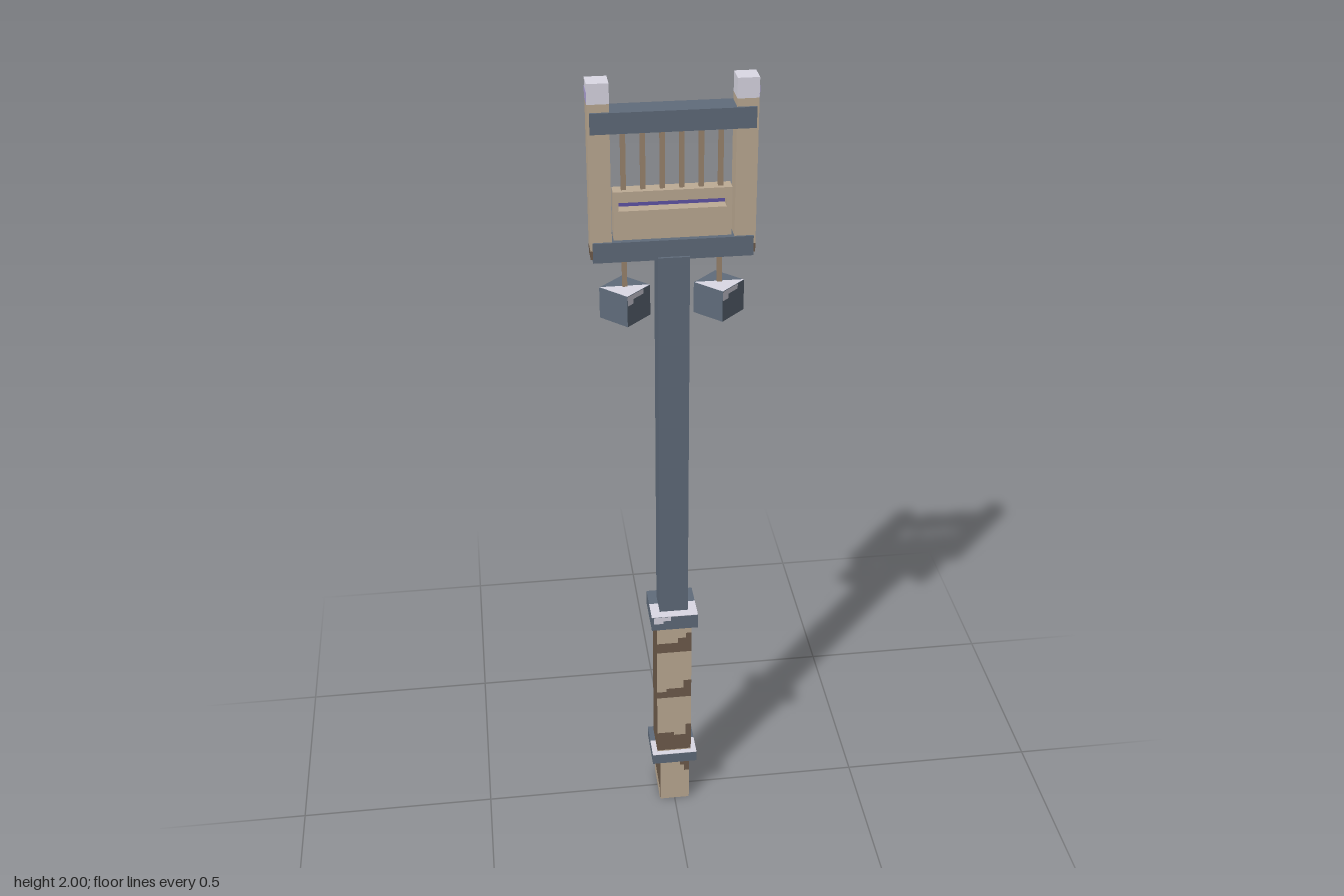
import * as THREE from 'three';

export function createModel() {
  const model = new THREE.Group();
  model.name = 'barredPostSign';

  const mat = (name, color) => {
    const m = new THREE.MeshStandardMaterial({ color });
    m.name = name;
    return m;
  };
  const slate = mat('slate metal', 0x606c7b);
  const tan = mat('tan wood', 0xbeac95);
  const brown = mat('dark wood', 0x705d4d);
  const rod = mat('rod wood', 0x9c866f);
  const pale = mat('pale cap', 0xdcdae6);
  const purple = mat('purple inlay', 0x6155a8);
  const lilac = mat('lilac band', 0xb0a4d8);

  // Box given by its width, depth and vertical extent
  function box(name, material, w, y0, y1, d, x = 0, z = 0, parent = model) {
    const mesh = new THREE.Mesh(new THREE.BoxGeometry(w, y1 - y0, d), material);
    mesh.position.set(x, (y0 + y1) / 2, z);
    mesh.name = name;
    parent.add(mesh);
    return mesh;
  }

  // Thin painted patch on an upright face; turn is the direction it faces
  function patch(name, material, points, dist, turn, parent = model) {
    const shape = new THREE.Shape(points.map(p => new THREE.Vector2(...p)));
    const geo = new THREE.ShapeGeometry(shape).translate(0, 0, dist + 0.001);
    const mesh = new THREE.Mesh(geo, material);
    mesh.rotation.y = turn;
    mesh.name = name;
    parent.add(mesh);
  }

  // Materials in box order: +x, -x, +y, -y, +z, -z
  const wood = [brown, brown, tan, tan, tan, tan];

  // Foot, grip and shaft
  box('foot', wood, 0.078, 0, 0.13, 0.114);
  box('grip', wood, 0.09, 0.16, 0.58, 0.09);
  box('shaft', slate, 0.072, 0.62, 1.6, 0.072);

  // Collars with a pale front half on top
  for (const [y0, y1] of [[0.13, 0.16], [0.58, 0.62]]) {
    box('collar', slate, 0.118, y0, y1, 0.118);
    box('collarTop', pale, 0.118, y1, y1 + 0.001, 0.059, 0, 0.0295);
  }
  patch('collarMark', pale, [[-0.054, 0.62], [-0.054, 0.6], [-0.03, 0.6], [-0.03, 0.608], [-0.01, 0.608], [-0.01, 0.62]], 0.059, 0);

  // Stepped dark bands on the front and back of the grip
  const bands = [
    [[-0.045, 0.495], [0.045, 0.495], [0.045, 0.555], [0.03, 0.555], [0.03, 0.54], [0.01, 0.54], [0.01, 0.525], [-0.045, 0.525]],
    [[-0.045, 0.345], [0.045, 0.345], [0.045, 0.4], [0.025, 0.4], [0.025, 0.375], [-0.02, 0.375], [-0.02, 0.365], [-0.045, 0.365]],
    [[-0.045, 0.165], [0.045, 0.165], [0.045, 0.25], [0.03, 0.25], [0.03, 0.215], [0, 0.215], [0, 0.225], [-0.045, 0.225]]
  ];
  for (const turn of [0, Math.PI]) {
    for (const b of bands) patch('gripBand', brown, b, 0.045, turn);
  }
  patch('footPatch', brown, [[0.014, 0.13], [0.014, 0.118], [0.025, 0.118], [0.025, 0.098], [0.039, 0.098], [0.039, 0.13]], 0.057, 0);

  // Light marks on the sides of the grip and foot
  for (const turn of [Math.PI / 2, -Math.PI / 2]) {
    patch('footStrip', tan, [[-0.057, 0], [0.057, 0], [0.057, 0.035], [-0.057, 0.035]], 0.039, turn);
  }
  patch('gripMark', tan, [[-0.044, 0.5], [-0.044, 0.48], [-0.028, 0.48], [-0.028, 0.435], [-0.018, 0.435],
    [-0.018, 0.412], [-0.006, 0.412], [-0.006, 0.45], [-0.014, 0.45], [-0.014, 0.5]], 0.045, Math.PI / 2);

  // Head: rails and side posts
  box('bottomRail', slate, 0.36, 1.593, 1.64, 0.06);
  box('topRail', slate, 0.36, 1.89, 1.937, 0.06);
  for (const s of [-1, 1]) {
    const x = s * 0.161;
    box('sidePostBase', brown, 0.048, 1.6, 1.62, 0.05, x);
    box('sidePost', tan, 0.048, 1.62, 1.955, 0.05, x);
    box('postCap', pale, 0.048, 1.955, 2, 0.05, x);
    box('capBand', lilac, 0.001, 1.957, 1.982, 0.05, s * 0.1853);
  }

  // Panel in two boards, with a deep slot and an inlay at its back
  box('lowerBoard', tan, 0.264, 1.64, 1.708, 0.034);
  box('upperBoard', tan, 0.264, 1.728, 1.753, 0.034);
  for (const s of [-1, 1]) box('boardEnd', tan, 0.012, 1.708, 1.728, 0.034, s * 0.126);
  box('slotBack', tan, 0.24, 1.708, 1.728, 0.004, 0, -0.015);
  box('inlay', purple, 0.24, 1.708, 1.728, 0.002, 0, -0.012);

  // Balusters
  for (let i = 0; i < 6; i++) box('baluster', rod, 0.011, 1.75, 1.892, 0.011, (i - 2.5) * 0.043);

  // Hanging blocks, turned to stand cornerwise
  const side = 0.082, h = side / 2, r = 0.058;
  for (const s of [-1, 1]) {
    const hanger = new THREE.Group();
    hanger.name = 'hanger';
    hanger.position.x = s * 0.108;
    model.add(hanger);
    box('hangerRod', rod, 0.011, 1.515, 1.6, 0.011, 0, 0, hanger);
    box('hangingBlock', slate, side, 1.445, 1.52, side, 0, 0, hanger).rotation.y = Math.PI / 4;
    // Pale front half of the top, and its ragged edge on two faces
    const half = new THREE.Shape([[-r, 0], [0, -r], [r, 0]].map(p => new THREE.Vector2(...p)));
    const top = new THREE.Mesh(new THREE.ShapeGeometry(half).rotateX(-Math.PI / 2), pale);
    top.position.y = 1.521;
    top.name = 'blockTop';
    hanger.add(top);
    for (const turn of [Math.PI / 4, -Math.PI * 3 / 4]) {
      patch('blockEdge', pale, [[-h, 1.52], [-h, 1.497], [-0.02, 1.497], [-0.02, 1.508], [0.015, 1.508], [0.015, 1.52]],
        h, turn, hanger);
    }
  }
  return model;
}
